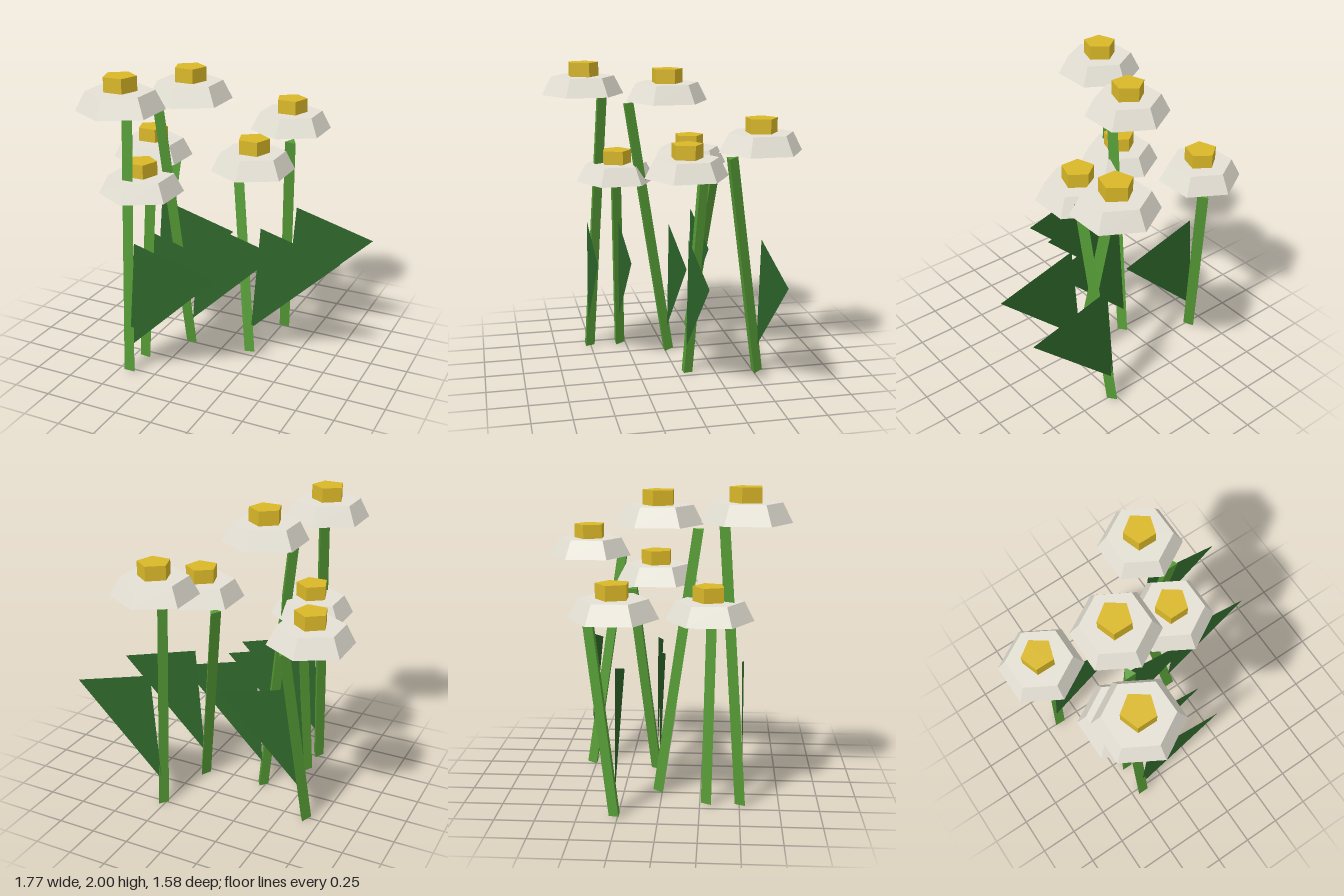
import * as THREE from 'three';

// One entry per flower: ground x/z, height of the head's underside, x/z lean of the stem top
const FLOWERS = [
  { x: 0.272, z: -0.518, y: 1.486, lean: [0.09, 0.214] },
  { x: -0.648, z: -0.263, y: 1.246, lean: [0.111, -0.163] },
  { x: -0.227, z: -0.017, y: 1.755, lean: [-0.08, 0.253] },
  { x: 0.198, z: -0.059, y: 1.325, lean: [-0.163, -0.144] },
  { x: -0.422, z: 0.30, y: 1.194, lean: [0.09, 0.023] },
  { x: -0.422, z: 0.515, y: 1.79, lean: [-0.018, -0.12] },
];

const material = (color, side = THREE.FrontSide) =>
  new THREE.MeshStandardMaterial({ color, side, flatShading: true });

export function createModel() {
  const model = new THREE.Group();
  model.name = 'flowerPatch';

  const stemMat = material(0x559a35);
  const leafMat = material(0x2d6429, THREE.DoubleSide);
  const petalMat = material(0xe4e0d4);
  const coreMat = material(0xdab828);

  // Low-poly head: six-sided petal ring with a five-sided core
  const petalGeo = new THREE.CylinderGeometry(0.21, 0.272, 0.12, 6).translate(0, 0.06, 0);
  const coreGeo = new THREE.CylinderGeometry(0.106, 0.106, 0.092, 5)
    .rotateY(Math.PI).translate(0, 0.166, 0);

  // Flat triangular leaf
  const leafGeo = new THREE.ShapeGeometry(new THREE.Shape([
    new THREE.Vector2(0, 0.18),
    new THREE.Vector2(0.615, 0.775),
    new THREE.Vector2(0.06, 0.927),
  ]));

  const up = new THREE.Vector3(0, 1, 0);
  for (const { x, z, y, lean } of FLOWERS) {
    const flower = new THREE.Group();
    flower.name = 'flower';
    flower.position.set(x, 0, z);

    const add = (name, geometry, mat, height = 0) => {
      const mesh = new THREE.Mesh(geometry, mat);
      mesh.name = name;
      mesh.position.y = height;
      flower.add(mesh);
      return mesh;
    };

    // Three-sided stem, tipped over about its foot
    const length = y - 0.006;
    const stemGeo = new THREE.CylinderGeometry(0.043, 0.043, length, 3)
      .rotateY(Math.PI).translate(0, length / 2, 0);
    const rise = Math.sqrt(length ** 2 - lean[0] ** 2 - lean[1] ** 2);
    const direction = new THREE.Vector3(lean[0], rise, lean[1]).normalize();
    add('stem', stemGeo, stemMat, 0.006).quaternion.setFromUnitVectors(up, direction);

    add('leaf', leafGeo, leafMat);
    add('petals', petalGeo, petalMat, y);
    add('core', coreGeo, coreMat, y);
    model.add(flower);
  }
  return model;
}
